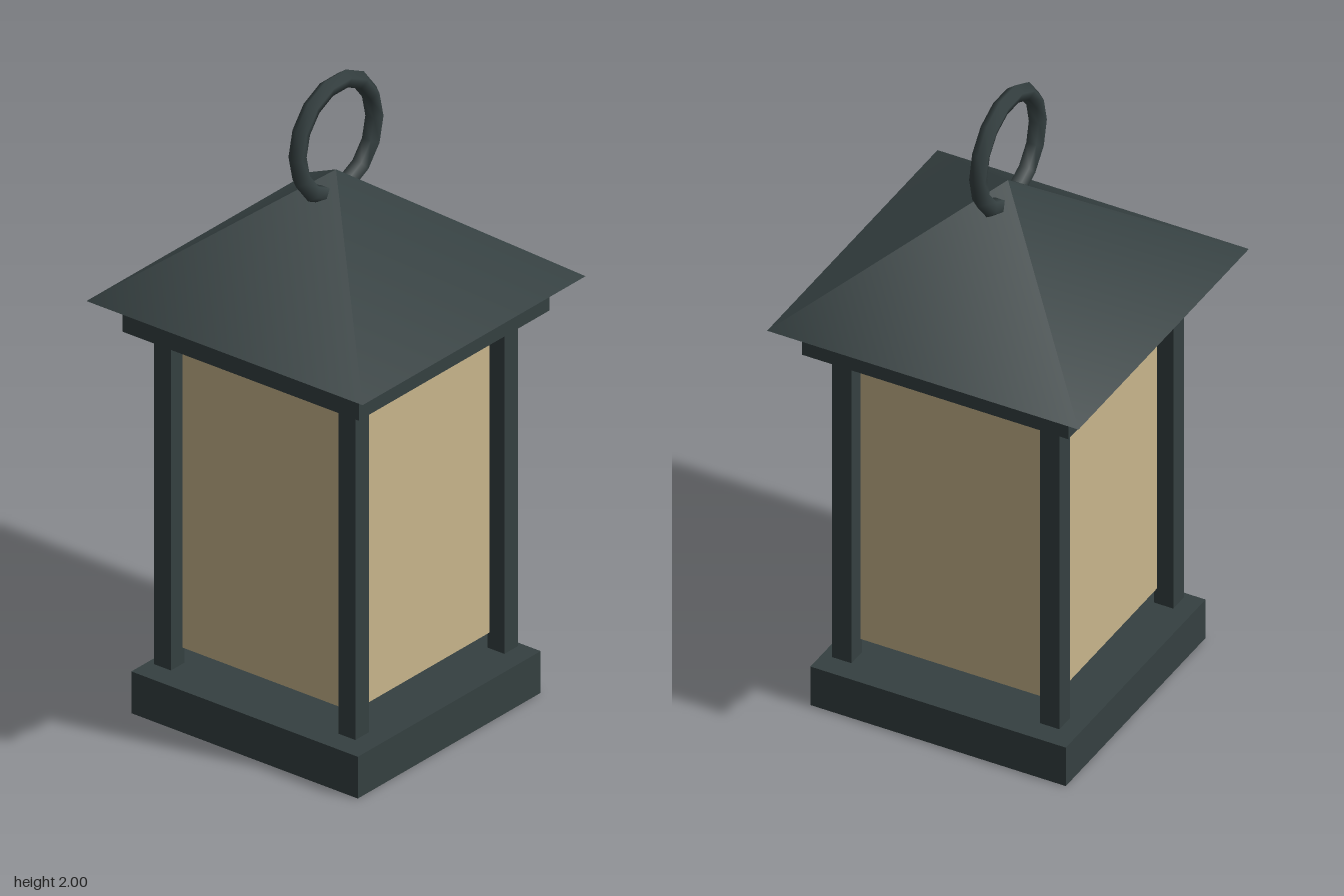
import * as THREE from 'three';

export function createModel() {
  const model = new THREE.Group();
  const metal = new THREE.MeshStandardMaterial({ color: 0x354041 });
  const glass = new THREE.MeshStandardMaterial({ color: 0xc8b58c });
  const wax = new THREE.MeshStandardMaterial({ color: 0xc8b292 });

  function add(name, geometry, material, x, y, z) {
    const mesh = new THREE.Mesh(geometry, material);
    mesh.name = name;
    mesh.position.set(x, y, z);
    model.add(mesh);
    return mesh;
  }

  // square block standing between two heights
  function block(name, width, bottom, top, material, x = 0, z = 0) {
    return add(name, new THREE.BoxGeometry(width, top - bottom, width), material, x, (bottom + top) / 2, z);
  }

  block('base', 0.82, 0, 0.133, metal);

  // four corner posts
  for (const x of [-1, 1]) {
    for (const z of [-1, 1]) {
      block('cornerPost', 0.062, 0.153, 1.218, metal, x * 0.334, z * 0.334);
    }
  }

  // glass body with the candle inside, its foot showing below
  block('glass', 0.624, 0.204, 1.193, glass);
  add('candle', new THREE.CylinderGeometry(0.143, 0.143, 0.45, 24), wax, 0, 0.153 + 0.225, 0);

  // cap and pyramid roof
  block('cap', 0.856, 1.217, 1.32, metal);
  const roof = new THREE.ConeGeometry(0.5 * Math.SQRT2, 0.38, 4);
  roof.rotateY(Math.PI / 4);
  add('roof', roof, metal, 0, 1.32 + 0.19, 0);

  // hanging ring through the roof tip
  add('hangingRing', new THREE.TorusGeometry(0.173, 0.027, 5, 14), metal, 0, 1.805, 0);

  return model;
}
